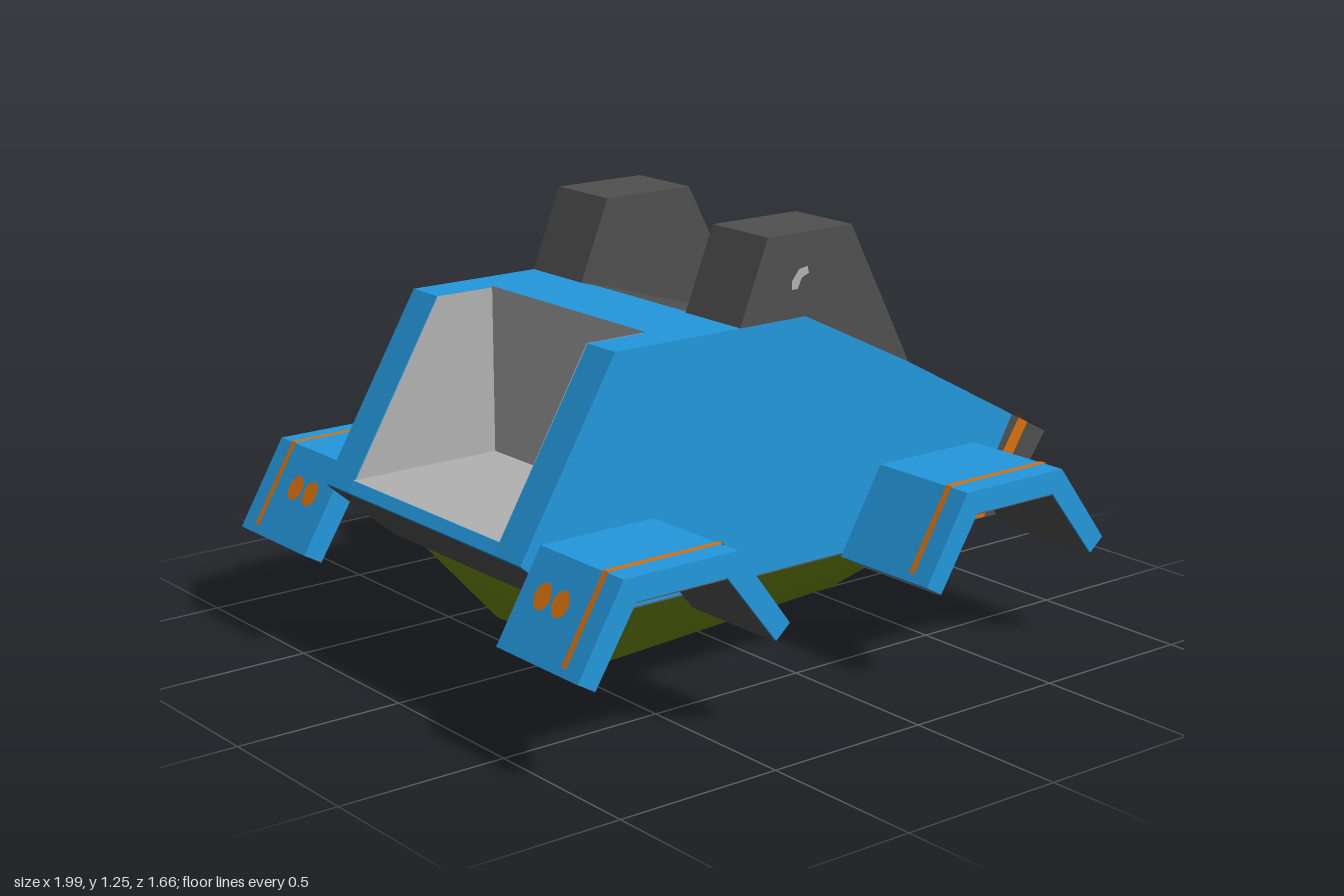
import * as THREE from 'three';

const paint = (name, color) => {
  const m = new THREE.MeshStandardMaterial({ color, side: THREE.DoubleSide });
  m.name = name;
  return m;
};

export function createModel() {
  const blue = paint('blue body', 0x2498dc);
  const dark = paint('dark grey', 0x505050);
  const grey = paint('light grey', 0xb2b2b2);
  const orange = paint('orange trim', 0xd9700c);
  const green = paint('olive green', 0x74900f);
  const teal = paint('teal frame', 0x4aa5a5);
  const beige = paint('beige lamp', 0xb5ab85);

  const root = new THREE.Group();
  const add = (name, geometry, material, parent = root) => {
    const mesh = new THREE.Mesh(geometry, material);
    mesh.name = name;
    parent.add(mesh);
    return mesh;
  };
  const shape = (pts) => new THREE.Shape(pts.map(([x, y]) => new THREE.Vector2(x, y)));
  const plate = (pts) => new THREE.ShapeGeometry(shape(pts));
  // Solid with an x-y profile between two z values
  const slab = (name, pts, z0, z1, material) => {
    const g = new THREE.ExtrudeGeometry(shape(pts), { depth: z1 - z0, bevelEnabled: false });
    g.translate(0, 0, z0);
    return add(name, g, material);
  };
  // Thin sheet following an x-y path between two z values
  const ribbon = (name, path, z0, z1, material, dx = 0, dy = 0.004) => {
    const v = [];
    for (let i = 0; i < path.length - 1; i++) {
      const [a, b] = path[i], [c, d] = path[i + 1];
      v.push(a, b, z0, a, b, z1, c, d, z1, a, b, z0, c, d, z1, c, d, z0);
    }
    const g = new THREE.BufferGeometry();
    g.setAttribute('position', new THREE.Float32BufferAttribute(v, 3));
    g.computeVertexNormals();
    const mesh = add(name, g, material);
    mesh.position.set(dx, dy, 0);
    return mesh;
  };
  const span = (s, a, b) => (s > 0 ? [a, b] : [-b, -a]);

  // Body: two full side slabs and a centre slab with the cargo bed cut out
  const belly = [[-0.7, 0.31], [0.83, 0.31], [0.99, 0.53], [0.43, 0.83], [-0.19, 1.02]];
  const bed = [[-0.42, 1.02], [-0.42, 0.53], [-0.9, 0.53]];
  slab('bodyCentre', [...belly, ...bed, [-0.92, 0.5]], -0.355, 0.355, blue);
  ribbon('bedLining', bed, -0.355, 0.355, grey, -0.004);
  ribbon('underside', [[-0.92, 0.5], [-0.7, 0.31], [0.83, 0.31]], -0.475, 0.475, dark, 0, -0.004);

  // Dark panel between the towers, running onto the bonnet
  ribbon('cockpitPanel', [[-0.19, 1.02], [0.43, 0.83], [0.5, 0.792]], -0.24, 0.24, dark);

  for (const s of [1, -1]) {
    const sideZ = (n) => s * (0.475 + n * 0.002);
    slab('bodySide', [...belly, [-0.61, 1.02], [-0.92, 0.5]], ...span(s, 0.355, 0.475), blue);
    add('bedSideLining', plate([[-0.9, 0.53], [-0.42, 0.53], [-0.42, 1.02], [-0.61, 1.02]]), grey)
      .position.z = s * 0.352;

    // Towers
    slab('tower', [[-0.19, 1.02], [0.43, 0.83], [0.205, 1.255], [-0.095, 1.255]],
      ...span(s, 0.24, 0.475), dark);
    add('towerBasePaint', plate([[-0.19, 1.02], [0.43, 0.83], [0.04, 1.02]]), blue)
      .position.z = sideZ(1);
    add('towerMark', plate([[-0.01, 1.1], [0.01, 1.1], [0.025, 1.13], [0.05, 1.14],
      [0.045, 1.16], [0.015, 1.155], [-0.01, 1.125]]), grey).position.z = sideZ(1);

    // Dark nose corners with an orange band over side and top
    add('noseCornerSide', plate([[0.68, 0.31], [0.83, 0.31], [0.99, 0.53], [0.85, 0.605]]), dark)
      .position.z = sideZ(1);
    add('noseBandSide', plate([[0.69, 0.31], [0.745, 0.31], [0.914, 0.571], [0.877, 0.591]]), orange)
      .position.z = sideZ(2);
    ribbon('noseCornerTop', [[0.85, 0.605], [0.99, 0.53]], ...span(s, 0.355, 0.475), dark);
    ribbon('noseBandTop', [[0.882, 0.588], [0.912, 0.572]], ...span(s, 0.355, 0.475), orange, 0, 0.007);

    // Arched fenders with dark linings and an orange stripe
    for (const x of [-1, 0.185]) {
      const at = ([a, b]) => [a + x, b];
      const outer = [[0, 0.3], [0.145, 0.545], [0.515, 0.545], [0.692, 0.31]].map(at);
      const inner = [[0.645, 0.27], [0.48, 0.478], [0.185, 0.478], [0.055, 0.27]].map(at);
      slab('fender', [...outer, ...inner], ...span(s, 0.475, 0.828), blue);
      ribbon('fenderLining', inner, ...span(s, 0.477, 0.826), dark, 0, -0.004);
      const stripe = [[0.01, 0.317], [0.145, 0.545], [0.515, 0.545], [0.605, 0.4255]].map(at);
      ribbon('fenderStripe', stripe, ...span(s, 0.745, 0.766), orange);
    }
    // Paired oval marks on the rear fender slope
    for (const z of [0.57, 0.648]) {
      const oval = new THREE.CircleGeometry(1, 16);
      oval.scale(0.033, 0.038, 1);
      const mark = add('fenderOval', oval, orange);
      mark.position.set(-0.919, 0.445, s * z);
      mark.rotation.set(0, -Math.PI / 2, 0);
      mark.rotateX(-Math.atan2(0.145, 0.245));
    }
  }

  // Nose face: flat layers laid on the sloping front
  const nose = new THREE.Group();
  nose.name = 'noseFace';
  nose.quaternion.setFromRotationMatrix(new THREE.Matrix4().makeBasis(
    new THREE.Vector3(0, 0, -1), new THREE.Vector3(0.588, 0.809, 0), new THREE.Vector3(0.809, -0.588, 0)));
  nose.position.set(0.91, 0.42, 0);
  root.add(nose);
  const rounded = (w, h, r, Type = THREE.Shape) => {
    const p = new Type(), a = w / 2 - r, b = h / 2 - r;
    p.absarc(a, b, r, 0, Math.PI / 2);
    p.absarc(-a, b, r, Math.PI / 2, Math.PI);
    p.absarc(-a, -b, r, Math.PI, Math.PI * 1.5);
    p.absarc(a, -b, r, Math.PI * 1.5, Math.PI * 2);
    p.closePath();
    return p;
  };
  add('nosePanel', new THREE.PlaneGeometry(0.95, 0.272), dark, nose).position.z = 0.002;
  add('nosePaint', plate([[-0.17, -0.04], [0.17, -0.04], [0.17, 0.075], [0.35, 0.075],
    [0.35, 0.136], [-0.35, 0.136], [-0.35, 0.075], [-0.17, 0.075]]), blue, nose).position.z = 0.004;
  for (const s of [1, -1]) {
    const frame = rounded(0.27, 0.17, 0.02);
    frame.holes.push(rounded(0.238, 0.13, 0.015, THREE.Path));
    add('headlightFrame', new THREE.ShapeGeometry(frame), teal, nose).position.set(s * 0.33, -0.02, 0.005);
    for (const t of [1, -1]) {
      const x = s * 0.33 + t * 0.058;
      add('headlightLens', plate([[-0.04, -0.052], [0.04, -0.052], [0.053, -0.03], [0.053, 0.045],
        [-0.053, 0.045], [-0.053, -0.03]]), beige, nose).position.set(x, -0.02, 0.006);
      add('headlightBrow', new THREE.PlaneGeometry(0.1, 0.012), green, nose).position.set(x, 0.028, 0.008);
    }
  }

  // Keel: smooth wedge hull under the body
  const hull = new THREE.BufferGeometry();
  hull.setAttribute('position', new THREE.Float32BufferAttribute([
    0.8, 0.31, 0.38, 0.8, 0.31, -0.38, -0.7, 0.33, 0.38, -0.7, 0.33, -0.38,
    0.58, 0, 0, -0.5, 0.07, 0.25, -0.5, 0.07, -0.25], 3));
  hull.setIndex([0, 4, 1, 0, 2, 5, 0, 5, 4, 1, 6, 3, 1, 4, 6, 4, 5, 6, 2, 3, 6, 2, 6, 5]);
  hull.computeVertexNormals();
  add('keel', hull, green);

  return root;
}
